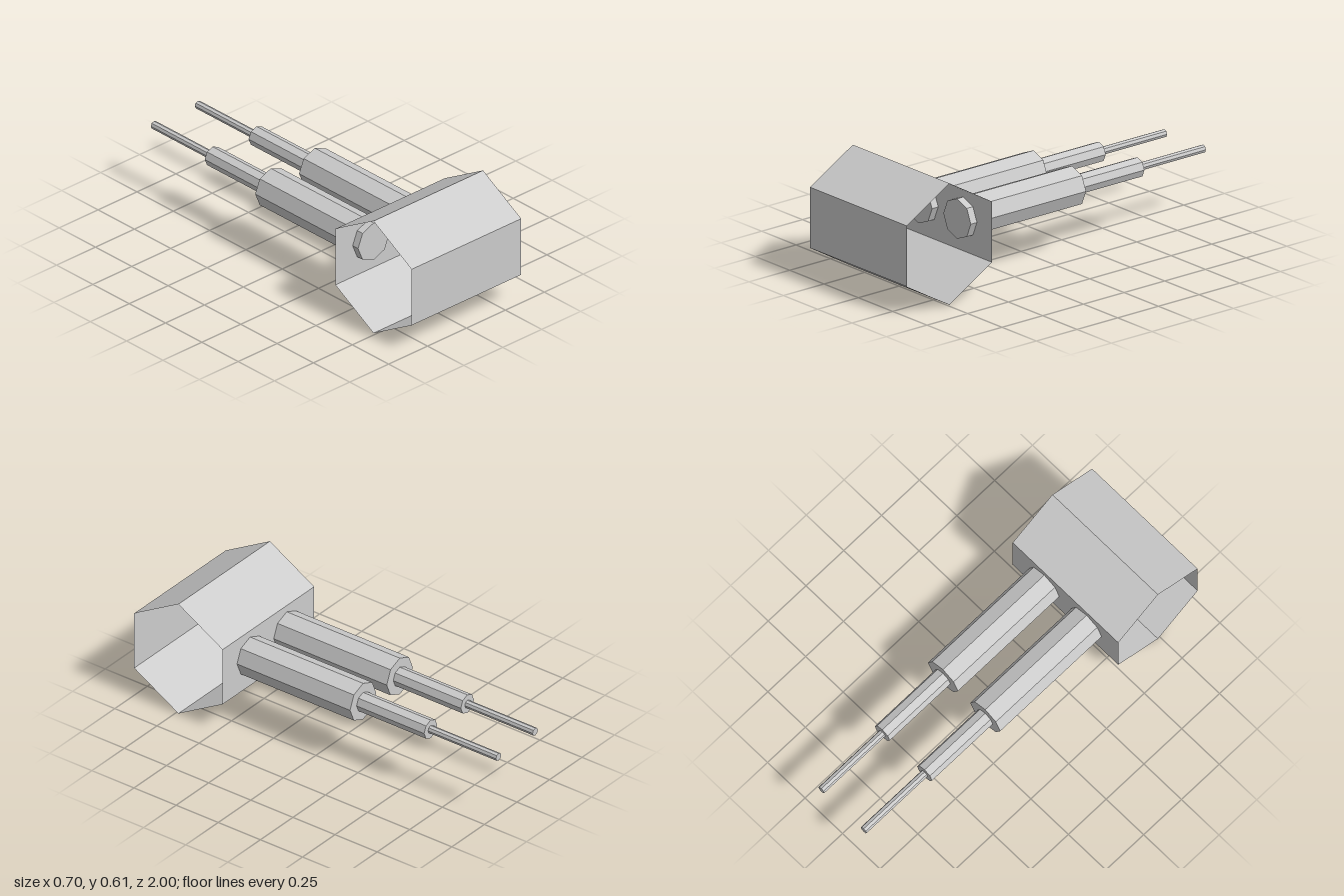
import * as THREE from 'three';

export function createModel() {
  const model = new THREE.Group();
  const solid = new THREE.MeshStandardMaterial({ color: 0xcccccc, flatShading: true });
  const shell = new THREE.MeshStandardMaterial({ color: 0xcccccc, flatShading: true, side: THREE.DoubleSide });

  // Hexagonal sleeve lying along x, open at both ends, with a ridge on top
  const sleeve = new THREE.Mesh(
    new THREE.CylinderGeometry(0.303, 0.303, 0.704, 6, 1, true, Math.PI / 6).rotateZ(Math.PI / 2),
    shell
  );
  sleeve.name = 'hexSleeve';
  sleeve.position.set(0, 0.303, 0.737);
  model.add(sleeve);

  // Two stepped prongs, each made of three eight-sided rods: [name, radius, front z, back z]
  const steps = [
    ['thickRod', 0.1, 0.512, -0.196],
    ['middleRod', 0.05, -0.196, -0.597],
    ['tipRod', 0.02, -0.597, -1],
  ];
  for (const side of [-1, 1]) {
    const prong = new THREE.Group();
    prong.name = side > 0 ? 'leftProng' : 'rightProng';
    prong.position.set(side * 0.141, 0.32, 0);
    for (const [name, radius, front, back] of steps) {
      const rod = new THREE.Mesh(
        new THREE.CylinderGeometry(radius, radius, front - back, 8).rotateX(Math.PI / 2),
        solid
      );
      rod.name = name;
      rod.position.z = (front + back) / 2;
      prong.add(rod);
    }
    model.add(prong);
  }
  return model;
}
